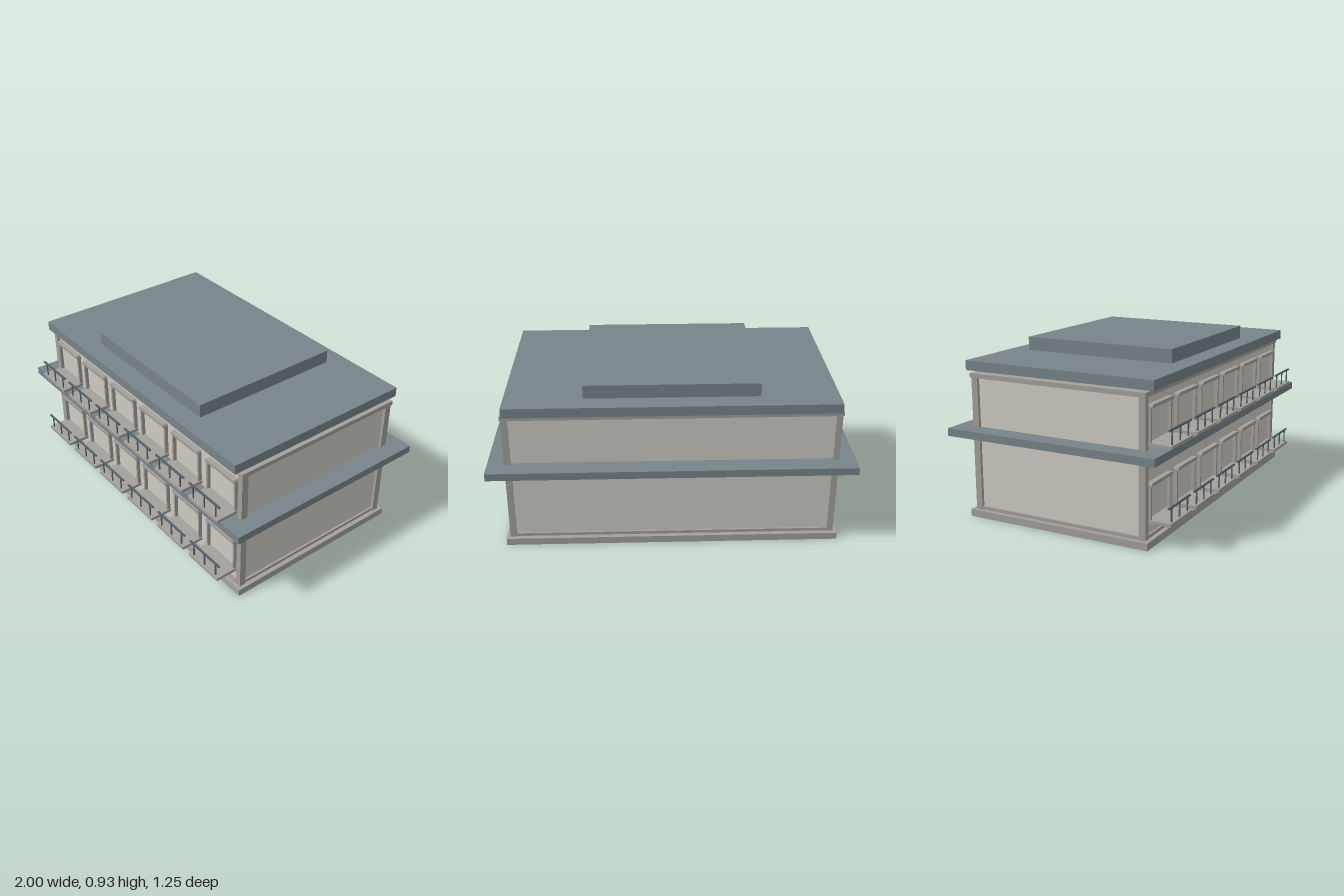
import * as THREE from 'three';

const mat = (name, color) => {
  const m = new THREE.MeshStandardMaterial({ color });
  m.name = name;
  return m;
};

export function createModel() {
  const wall = mat('pale grey wall', 0xcfccc3);
  const trim = mat('grey stone trim', 0xa4a19c);
  const slate = mat('slate roof', 0x78848a);
  const iron = mat('dark iron', 0x56636a);
  const building = new THREE.Group();
  building.name = 'building';

  // Box given by its lower and upper limits on each axis
  const box = (parent, name, material, x0, x1, y0, y1, z0, z1) => {
    const mesh = new THREE.Mesh(new THREE.BoxGeometry(x1 - x0, y1 - y0, z1 - z0), material);
    mesh.position.set((x0 + x1) / 2, (y0 + y1) / 2, (z0 + z1) / 2);
    mesh.name = name;
    parent.add(mesh);
    return mesh;
  };

  // Plinth, walls and cornice
  box(building, 'plinth', trim, -0.928, 0.927, 0, 0.04, -0.552, 0.527);
  box(building, 'walls', wall, -0.892, 0.89, 0.04, 0.77, -0.513, 0.493);
  box(building, 'bottomRail', trim, -0.904, 0.902, 0.04, 0.058, -0.525, 0.503);
  box(building, 'cornice', trim, -0.913, 0.912, 0.769, 0.794, -0.535, 0.51);

  // Corner posts
  for (const [x0, x1] of [[-0.908, -0.874], [0.873, 0.907]]) {
    for (const [z0, z1] of [[-0.529, -0.491], [0.468, 0.506]]) {
      box(building, 'cornerPost', trim, x0, x1, 0.04, 0.769, z0, z1);
    }
  }

  // Projecting floor slab and stepped roof
  box(building, 'middleSlab', slate, -1, 1, 0.46, 0.502, -0.627, 0.602);
  box(building, 'roof', slate, -0.897, 0.896, 0.803, 0.856, -0.572, 0.546);
  box(building, 'upperRoof', slate, -0.475, 0.473, 0.856, 0.931, -0.458, 0.434);

  // Window head with sloping ends
  const headShape = new THREE.Shape();
  headShape.moveTo(-0.118, 0.313);
  headShape.lineTo(0.118, 0.313);
  headShape.lineTo(0.118, 0.321);
  headShape.lineTo(0.112, 0.331);
  headShape.lineTo(-0.112, 0.331);
  headShape.lineTo(-0.118, 0.321);
  headShape.closePath();
  const headGeometry = new THREE.ExtrudeGeometry(headShape, { depth: 0.03, bevelEnabled: false });

  // Window surround with its balcony, two rows of six
  const addWindow = (x, y) => {
    const bay = new THREE.Group();
    bay.name = 'windowBay';
    bay.position.set(x, y, 0);
    building.add(bay);
    const head = new THREE.Mesh(headGeometry, trim);
    head.name = 'windowHead';
    head.position.z = 0.491;
    bay.add(head);
    for (const s of [-1, 1]) {
      box(bay, 'windowJamb', trim, s * 0.111 - 0.006, s * 0.111 + 0.006, 0.135, 0.315, 0.49, 0.513);
    }
    box(bay, 'balconyFloor', trim, -0.122, 0.122, 0.121, 0.138, 0.49, 0.628);
    box(bay, 'handrail', iron, -0.125, 0.125, 0.211, 0.22, 0.61, 0.62);
    for (const px of [-0.093, 0, 0.093]) {
      box(bay, 'railPost', iron, px - 0.0035, px + 0.0035, 0.138, 0.212, 0.612, 0.618);
    }
  };
  for (const y of [0, 0.396]) {
    for (let i = 0; i < 6; i++) addWindow((i - 2.5) * 0.298 - 0.001, y);
  }

  return building;
}
